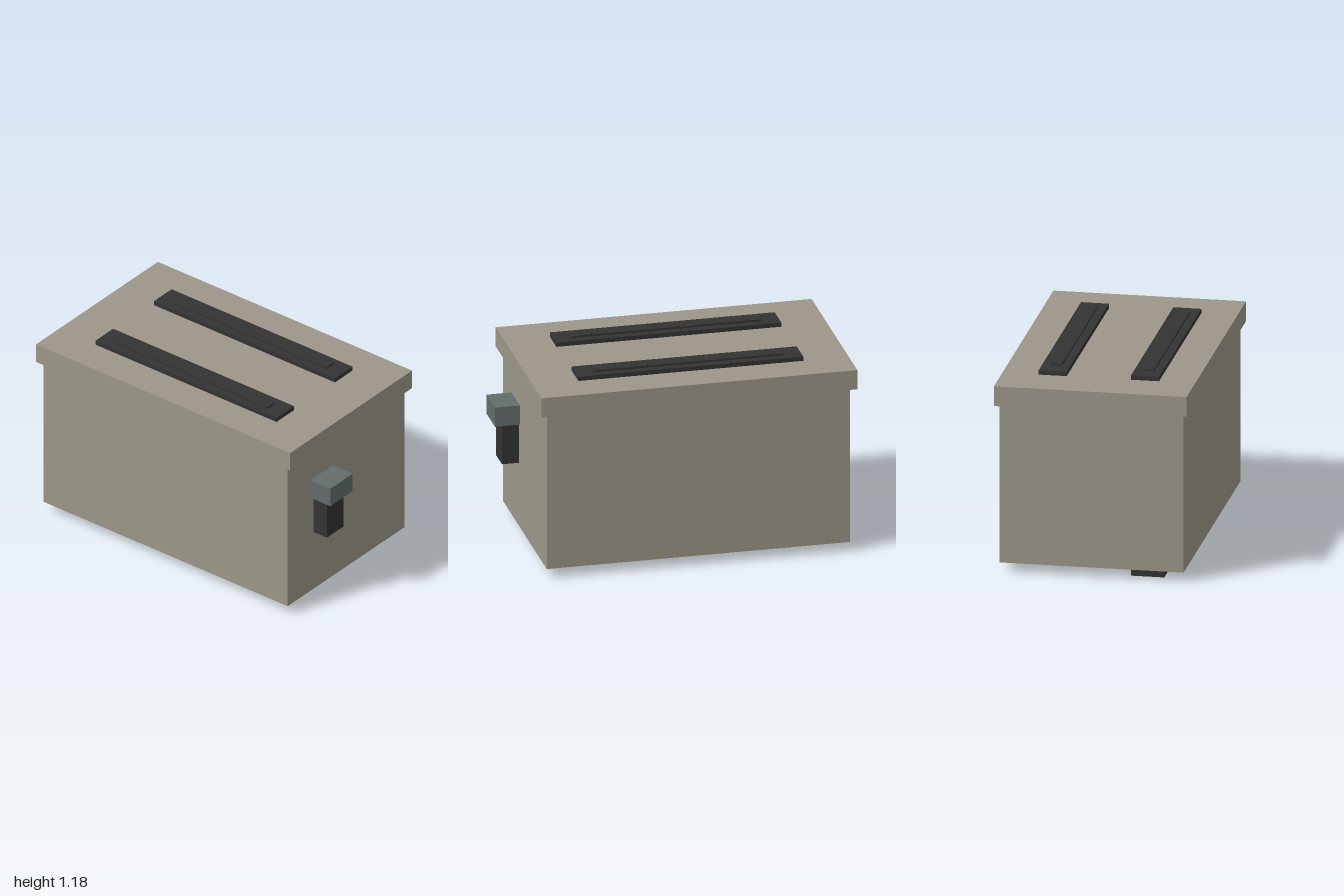
import * as THREE from 'three';

export function createModel() {
  const model = new THREE.Group();
  model.name = 'toaster';

  const mat = (name, color) => {
    const m = new THREE.MeshStandardMaterial({ color });
    m.name = name;
    return m;
  };
  const shell = mat('warm grey shell', 0x9c9789);
  const dark = mat('dark plastic', 0x333333);
  const steel = mat('blue grey knob', 0x646c6c);

  // Box given by its extents along each axis
  const box = (name, material, [x0, x1], [y0, y1], [z0, z1]) => {
    const mesh = new THREE.Mesh(new THREE.BoxGeometry(x1 - x0, y1 - y0, z1 - z0), material);
    mesh.position.set((x0 + x1) / 2, (y0 + y1) / 2, (z0 + z1) / 2);
    mesh.name = name;
    model.add(mesh);
  };

  // Housing with overhanging lid
  box('body', shell, [-0.962, 0.851], [0.057, 1.02], [-0.545, 0.545]);
  box('lid', shell, [-1, 0.889], [1.02, 1.14], [-0.57, 0.57]);

  // Two bread slots, each a frame with a raised inner strip
  for (const side of [-1, 1]) {
    const z = side * 0.273;
    const label = side > 0 ? 'front' : 'back';
    box(label + 'SlotFrame', dark, [-0.728, 0.617], [1.14, 1.166], [z - 0.083, z + 0.083]);
    box(label + 'SlotInner', dark, [-0.621, 0.514], [1.166, 1.178], [z - 0.035, z + 0.035]);
  }

  // Lever on the +x end
  box('leverStem', dark, [0.851, 0.952], [0.45, 0.7], [0.153, 0.306]);
  box('leverKnob', steel, [0.851, 1], [0.7, 0.82], [0.125, 0.335]);

  // Feet under the front edge
  for (const side of [-1, 1]) {
    const x = -0.055 + side * 0.728;
    box(side > 0 ? 'leftFoot' : 'rightFoot', dark, [x - 0.113, x + 0.113], [0, 0.057], [0.222, 0.418]);
  }

  return model;
}
